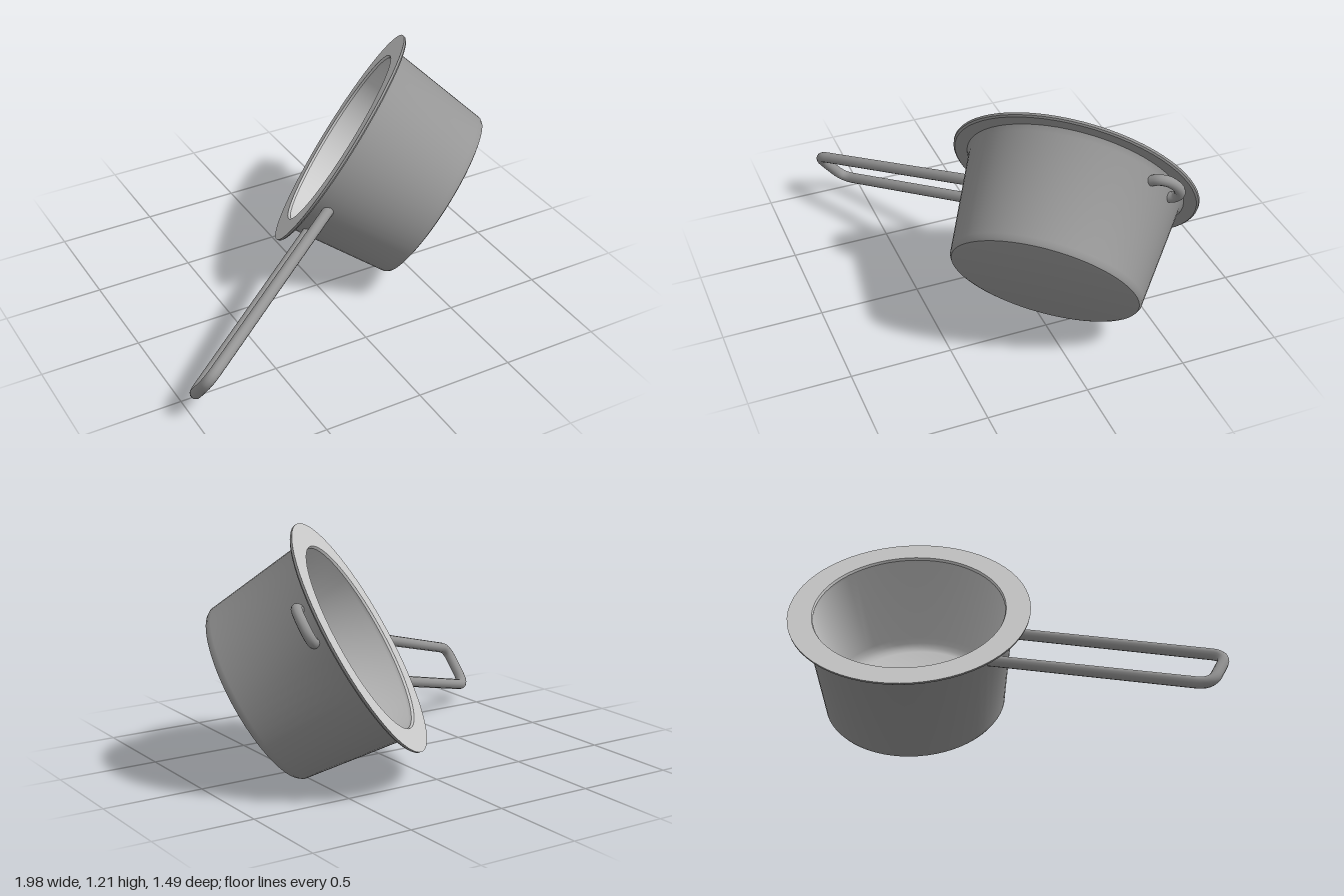
import * as THREE from 'three';
import { toCreasedNormals } from 'three/addons/utils/BufferGeometryUtils.js';

const insideMetal = new THREE.MeshStandardMaterial({ color: 0xc2c2c2 });
const outsideMetal = new THREE.MeshStandardMaterial({ color: 0x969696 });
const V = (x, y, z) => new THREE.Vector3(x, y, z);

function addMesh(parent, name, geometry, material) {
  const mesh = new THREE.Mesh(geometry, material);
  mesh.name = name;
  parent.add(mesh);
}

function lathe(profile) {
  const points = profile.map(([r, y]) => new THREE.Vector2(r, y));
  return toCreasedNormals(new THREE.LatheGeometry(points, 64), 0.6);
}

// Path through straight runs with each inner corner rounded off
function roundedPath(points, radius) {
  const path = new THREE.CurvePath();
  let from = points[0];
  for (let i = 1; i < points.length - 1; i++) {
    const corner = points[i];
    const toward = (p) => corner.clone().add(p.clone().sub(corner).setLength(radius));
    const a = toward(points[i - 1]);
    const b = toward(points[i + 1]);
    path.add(new THREE.LineCurve3(from, a));
    path.add(new THREE.QuadraticBezierCurve3(a, corner, b));
    from = b;
  }
  path.add(new THREE.LineCurve3(from, points[points.length - 1]));
  return path;
}

export function createModel() {
  const model = new THREE.Group();
  model.name = 'saucepan';

  // Pan is modelled upright: y is the pan axis, rim at y = 0, handle along +x
  const pan = new THREE.Group();
  pan.name = 'pan';
  model.add(pan);

  // Outer wall with rounded base edge, up to the underside of the rim
  addMesh(pan, 'bowlOutside', lathe([
    [0, -0.58], [0.44, -0.58], [0.458, -0.574], [0.467, -0.56], [0.469, -0.54],
    [0.525, -0.045], [0.54, -0.02], [0.602, -0.018], [0.611, -0.011], [0.613, 0],
  ]), outsideMetal);

  // Flat rim and hollow inside
  addMesh(pan, 'rimAndInside', lathe([
    [0.613, 0], [0.49, 0], [0.484, -0.012], [0.488, -0.03],
    [0.436, -0.48], [0.428, -0.51], [0.41, -0.53], [0.385, -0.538], [0, -0.538],
  ]), insideMetal);

  // Long wire handle, tilted slightly toward the rim
  const handlePath = roundedPath([
    V(0.48, -0.1, -0.125), V(1.607, 0.053, -0.133),
    V(1.607, 0.053, 0.103), V(0.48, -0.1, 0.125),
  ], 0.075);
  addMesh(pan, 'handle', new THREE.TubeGeometry(handlePath, 140, 0.028, 12), outsideMetal);

  // Small hanging loop opposite the handle
  const loopPath = new THREE.CatmullRomCurve3([
    V(-0.49, -0.09, -0.105), V(-0.55, -0.085, -0.105), V(-0.585, -0.08, -0.075),
    V(-0.597, -0.078, -0.022),
    V(-0.585, -0.08, 0.03), V(-0.55, -0.085, 0.06), V(-0.49, -0.09, 0.06),
  ]);
  addMesh(pan, 'hangingLoop', new THREE.TubeGeometry(loopPath, 40, 0.026, 12), outsideMetal);

  // Tip the pan over so that it rests on the edge of its base
  const axis = V(-0.66, 0.507, -0.553).normalize();
  const handleDir = V(-0.751, -0.334, 0.57);
  handleDir.addScaledVector(axis, -handleDir.dot(axis)).normalize();
  const side = handleDir.clone().cross(axis);
  pan.quaternion.setFromRotationMatrix(new THREE.Matrix4().makeBasis(handleDir, axis, side));
  pan.position.set(0.262, 0.69, -0.245);

  return model;
}
